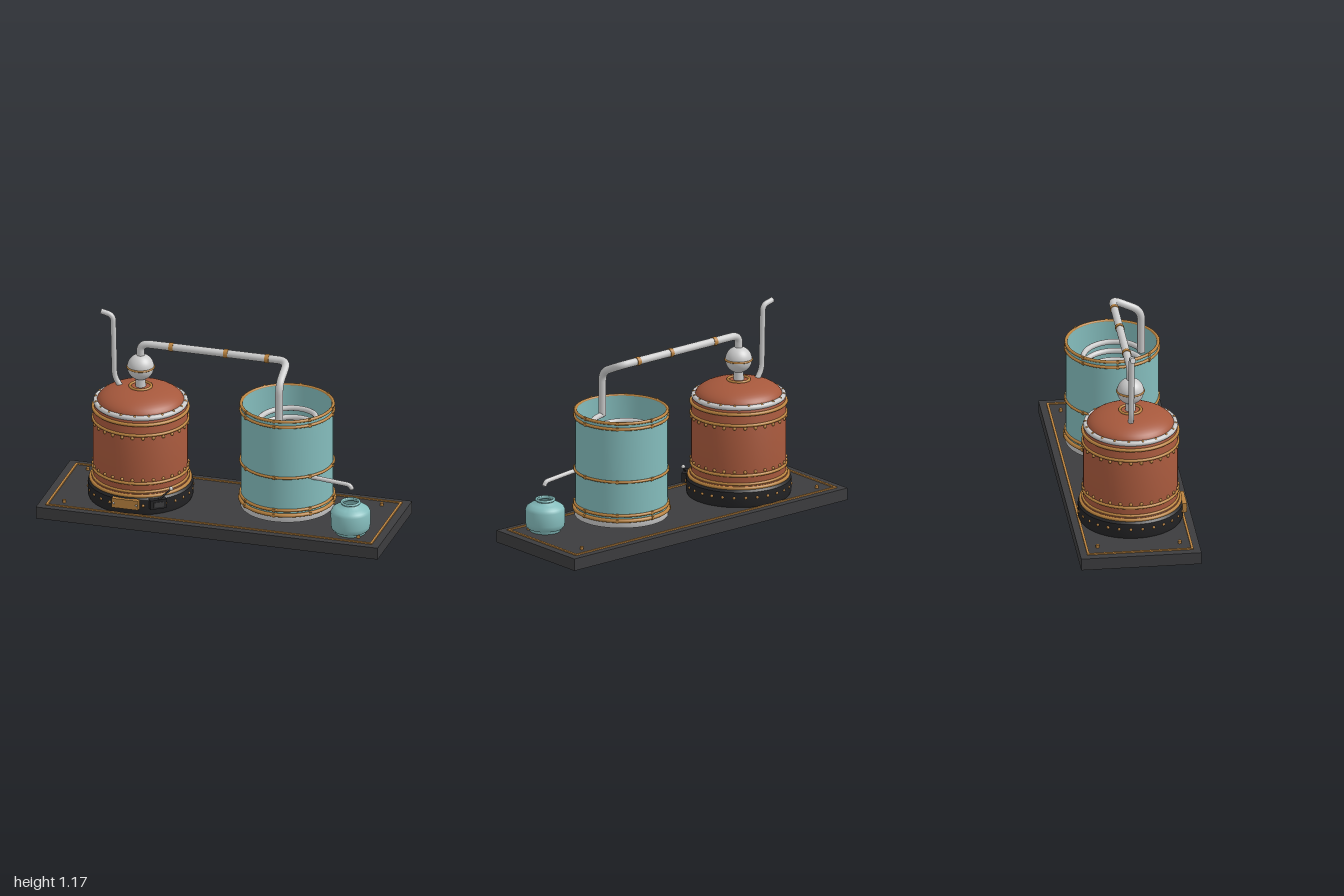
import * as THREE from 'three';
import { toCreasedNormals } from 'three/addons/utils/BufferGeometryUtils.js';

const mat = (color) => new THREE.MeshStandardMaterial({ color, side: THREE.DoubleSide });
const V = (x, y, z) => new THREE.Vector3(x, y, z);

export function createModel() {
  const root = new THREE.Group();
  const copper = mat(0xa6583c), brass = mat(0xb9823f), teal = mat(0x84bcbc);
  const steel = mat(0xcccccc), dark = mat(0x3c3c3e), black = mat(0x242426);

  const add = (parent, name, geo, material, x = 0, y = 0, z = 0) => {
    const m = new THREE.Mesh(geo, material);
    m.name = name;
    m.position.set(x, y, z);
    parent.add(m);
    return m;
  };
  const group = (name, x = 0, z = 0) => {
    const g = new THREE.Group();
    g.name = name;
    g.position.set(x, 0, z);
    root.add(g);
    return g;
  };
  const lathe = (parent, name, pts, material) => add(parent, name,
    toCreasedNormals(new THREE.LatheGeometry(pts.map(p => new THREE.Vector2(...p)), 56), 0.6), material);
  const ring = (parent, name, r, tube, y, material) => {
    const m = add(parent, name, new THREE.TorusGeometry(r, tube, 10, 56), material, 0, y, 0);
    m.rotation.x = Math.PI / 2;
    return m;
  };
  const rivets = (parent, name, n, r, y, size, material) => {
    const geo = new THREE.SphereGeometry(size, 8, 6);
    for (let i = 0; i < n; i++) {
      const a = (i + 0.5) / n * Math.PI * 2;
      add(parent, name, geo, material, Math.sin(a) * r, y, Math.cos(a) * r);
    }
  };
  // Pipe along straight runs with rounded corners, closed by end discs
  const pipe = (parent, name, pts, r, bend, material, segments = 120) => {
    const path = new THREE.CurvePath();
    let from = pts[0];
    for (let i = 1; i < pts.length - 1; i++) {
      const p = pts[i];
      const a = p.clone().lerp(pts[i - 1], Math.min(0.45, bend / p.distanceTo(pts[i - 1])));
      const b = p.clone().lerp(pts[i + 1], Math.min(0.45, bend / p.distanceTo(pts[i + 1])));
      path.add(new THREE.LineCurve3(from, a));
      path.add(new THREE.QuadraticBezierCurve3(a, p, b));
      from = b;
    }
    path.add(new THREE.LineCurve3(from, pts[pts.length - 1]));
    add(parent, name, new THREE.TubeGeometry(path, segments, r, 14), material);
    for (const t of [0, 1]) {
      const end = path.getPointAt(t);
      const cap = add(parent, name + 'End', new THREE.CircleGeometry(r, 14), material, ...end.toArray());
      cap.lookAt(end.clone().addScaledVector(path.getTangentAt(t), t ? 1 : -1));
    }
  };

  // Base board with inlaid trim and screws
  const base = group('base');
  add(base, 'board', new THREE.BoxGeometry(2, 0.07, 0.68), dark, 0, 0.035, 0);
  for (const s of [-1, 1]) {
    add(base, 'longTrim', new THREE.BoxGeometry(1.91, 0.008, 0.013), brass, 0, 0.073, s * 0.294);
    add(base, 'shortTrim', new THREE.BoxGeometry(0.013, 0.008, 0.6), brass, s * 0.949, 0.073, 0);
    for (const x of [-0.865, 0.855])
      add(base, 'screw', new THREE.CylinderGeometry(0.01, 0.01, 0.018, 12), brass, x, 0.078, s * 0.232);
  }
  add(base, 'screw', new THREE.CylinderGeometry(0.01, 0.01, 0.018, 12), brass, 0.25, 0.078, 0);

  // Heater under the pot
  const heater = group('heater', -0.488);
  lathe(heater, 'heaterBody', [[0, 0.07], [0.29, 0.07], [0.296, 0.085], [0.296, 0.16], [0.285, 0.172], [0, 0.172]], black);
  rivets(heater, 'heaterRivet', 28, 0.294, 0.128, 0.009, brass);
  add(heater, 'namePlate', new THREE.BoxGeometry(0.155, 0.056, 0.03), brass, 0, 0.138, 0.295);
  for (const s of [-1, 1])
    add(heater, 'plateScrew', new THREE.SphereGeometry(0.006, 8, 6), steel, s * 0.066, 0.138, 0.31);
  const switchBox = new THREE.Group();
  switchBox.name = 'switchBox';
  switchBox.position.set(0.172, 0.14, 0.246);
  switchBox.rotation.y = Math.atan2(0.172, 0.246);
  heater.add(switchBox);
  add(switchBox, 'switchHousing', new THREE.BoxGeometry(0.095, 0.055, 0.04), black);
  add(switchBox, 'switchFace', new THREE.BoxGeometry(0.06, 0.03, 0.006), dark, 0, 0, 0.021);
  pipe(heater, 'leverRod', [V(0.18, 0.165, 0.25), V(0.21, 0.19, 0.225), V(0.238, 0.215, 0.2)], 0.005, 0.01, black, 10);
  add(heater, 'leverKnob', new THREE.SphereGeometry(0.012, 12, 8), steel, 0.238, 0.218, 0.2);

  // Copper pot with riveted bands and a domed lid
  const pot = group('pot', -0.488);
  lathe(pot, 'potBody', [[0, 0.17], [0.275, 0.17], [0.275, 0.19], [0.266, 0.195], [0.266, 0.61], [0.255, 0.64], [0, 0.64]], copper);
  ring(pot, 'footBand', 0.28, 0.01, 0.18, brass);
  ring(pot, 'lowerBand', 0.268, 0.008, 0.2, brass);
  for (const [y, dy] of [[0.25, 0.02], [0.545, -0.018]]) {
    ring(pot, 'rivetBand', 0.267, 0.009, y, brass);
    rivets(pot, 'bandRivet', 28, 0.267, y + dy, 0.01, brass);
  }
  ring(pot, 'shoulderBand', 0.267, 0.01, 0.61, brass);
  ring(pot, 'lidSeal', 0.252, 0.015, 0.645, steel);
  rivets(pot, 'sealBolt', 20, 0.254, 0.655, 0.009, brass);
  const dome = [];
  for (let i = 0; i <= 12; i++) {
    const a = i / 12 * Math.PI / 2;
    dome.push([0.246 * Math.cos(a), 0.645 + 0.09 * Math.sin(a)]);
  }
  lathe(pot, 'domeLid', dome, copper);
  ring(pot, 'neckCollar', 0.06, 0.008, 0.735, brass);
  add(pot, 'neck', new THREE.CylinderGeometry(0.027, 0.03, 0.07, 24), steel, 0, 0.76, 0);
  add(pot, 'vapourBulb', new THREE.SphereGeometry(0.076, 36, 24), steel, 0, 0.852, 0);
  ring(pot, 'bulbBand', 0.075, 0.006, 0.853, brass);
  pipe(pot, 'ventPipe', [V(-0.125, 0.715, -0.014), V(-0.157, 0.77, -0.014), V(-0.165, 1.14, -0.014), V(-0.235, 1.157, -0.014)],
    0.016, 0.035, steel);

  // Pipe from the bulb across to the condenser, with clamps
  const line = group('vapourLine');
  pipe(line, 'vapourPipe', [V(-0.488, 0.9, 0), V(-0.488, 0.995, 0), V(0.372, 0.995, 0), V(0.372, 0.918, 0.165),
    V(0.372, 0.66, 0.165)], 0.0225, 0.055, steel, 200);
  for (const x of [-0.307, 0.013, 0.254])
    add(line, 'pipeClamp', new THREE.CylinderGeometry(0.0255, 0.0255, 0.024, 24), brass, x, 0.995, 0).rotation.z = Math.PI / 2;

  // Open condenser barrel with hoops
  const barrel = group('condenser', 0.37);
  lathe(barrel, 'barrelWall', [[0.26, 0.15], [0.26, 0.735], [0.25, 0.735], [0.25, 0.15]], teal);
  lathe(barrel, 'barrelFloor', [[0, 0.12], [0.262, 0.12], [0.265, 0.125], [0.265, 0.155], [0, 0.155]], steel);
  for (const [y, r, t] of [[0.735, 0.259, 0.009], [0.702, 0.261, 0.009], [0.39, 0.262, 0.008], [0.192, 0.262, 0.009], [0.163, 0.265, 0.011]]) {
    ring(barrel, 'hoop', r, t, y, brass);
    for (let i = 0; i < 8; i++) {
      const a = i * Math.PI / 4;
      const clip = add(barrel, 'hoopClip', new THREE.BoxGeometry(0.014, 0.02, 0.012), brass,
        Math.sin(a) * (r + t - 0.005), y, Math.cos(a) * (r + t - 0.005));
      clip.rotation.y = a;
    }
  }
  // Cooling coil winding down to the outlet
  const turns = 5, coil = [];
  for (let i = 0; i <= turns * 24; i++) {
    const a = i / 24 * Math.PI * 2;
    coil.push(V(Math.sin(a) * 0.162, 0.665 - 0.285 * i / (turns * 24), Math.cos(a) * 0.162));
  }
  add(barrel, 'coolingCoil', new THREE.TubeGeometry(new THREE.CatmullRomCurve3(coil), 320, 0.016, 10), steel);
  pipe(barrel, 'outletSpout', [V(0, 0.38, 0.162), V(0.22, 0.375, 0.165), V(0.415, 0.357, 0.165), V(0.428, 0.333, 0.165)],
    0.013, 0.02, steel, 60);

  // Collecting jar
  const jar = group('collectingJar', 0.79, 0.165);
  const side = [[0.098, 0.088], [0.108, 0.1], [0.111, 0.12], [0.112, 0.195], [0.104, 0.212], [0.08, 0.228],
    [0.056, 0.237], [0.05, 0.243], [0.05, 0.255]];
  const inside = side.slice(1).reverse().map(([r, y]) => [r - 0.007, y]);
  lathe(jar, 'jarBody', [[0, 0.085], ...side, ...inside, [0, 0.1]], teal);
  lathe(jar, 'jarFoot', [[0, 0.07], [0.085, 0.07], [0.09, 0.088], [0, 0.088]], teal);
  ring(jar, 'jarLip', 0.05, 0.007, 0.253, teal);
  return root;
}
